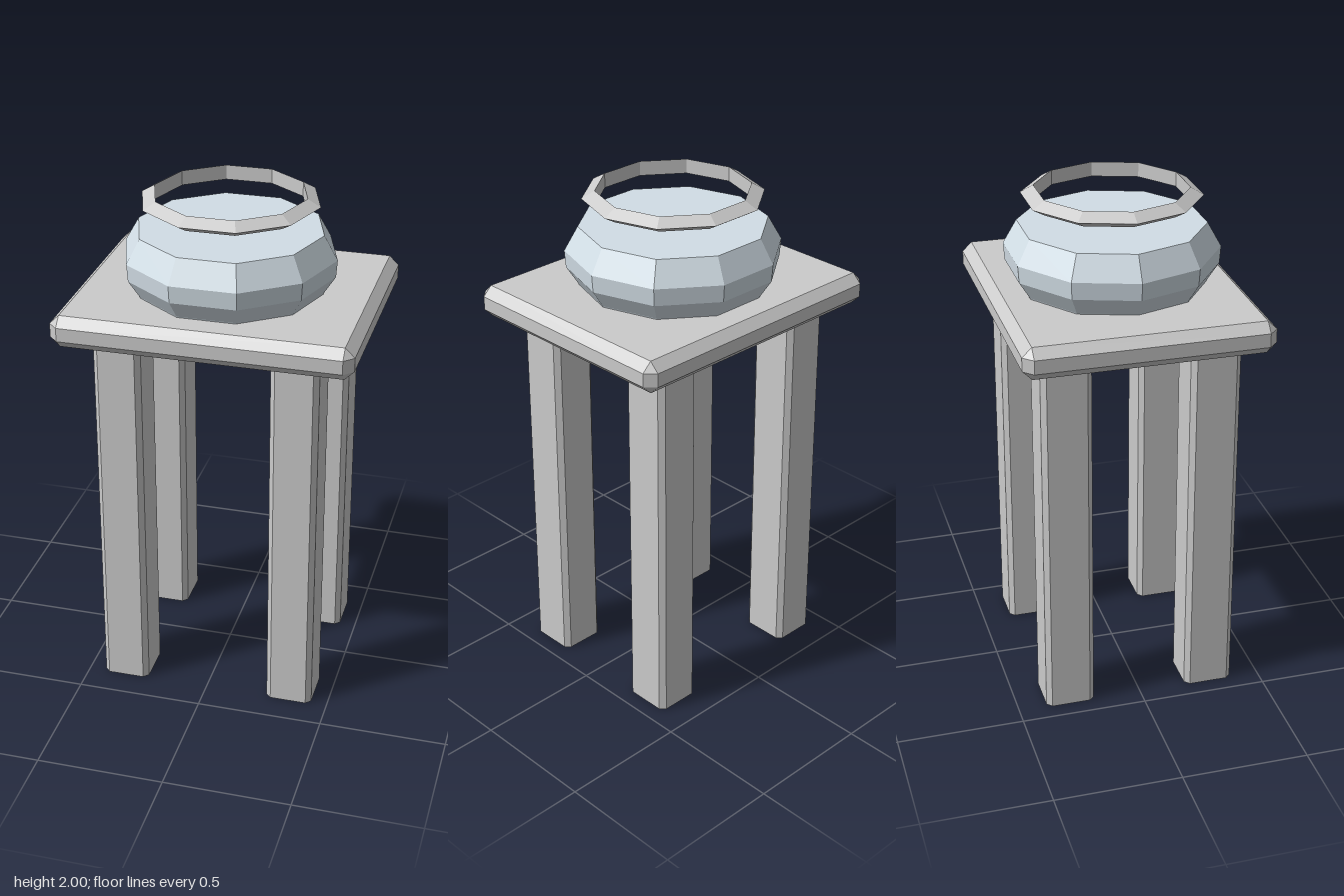
import * as THREE from 'three';
import { ConvexGeometry } from 'three/addons/geometries/ConvexGeometry.js';

// Box with chamfered edges; bx, by, bz are the chamfer insets per axis
function chamferBox(w, h, d, bx, by, bz) {
  const points = [];
  for (const x of [-1, 1]) for (const y of [-1, 1]) for (const z of [-1, 1]) {
    const [X, Y, Z] = [x * w / 2, y * h / 2, z * d / 2];
    const [x1, y1, z1] = [X - x * bx, Y - y * by, Z - z * bz];
    points.push(new THREE.Vector3(X, y1, z1), new THREE.Vector3(x1, y1, Z));
    if (by > 0) points.push(new THREE.Vector3(x1, Y, z1));
  }
  return new ConvexGeometry(points);
}

export function createModel() {
  const group = new THREE.Group();
  const grey = new THREE.MeshStandardMaterial({ color: 0xcccccc, flatShading: true });
  const paleBlue = new THREE.MeshStandardMaterial({ color: 0xd2dee6, flatShading: true });

  const add = (name, geometry, material, x, y, z) => {
    const mesh = new THREE.Mesh(geometry, material);
    mesh.name = name;
    mesh.position.set(x, y, z);
    group.add(mesh);
    return mesh;
  };

  // Table top, bevelled on every edge
  add('tableTop', chamferBox(1.15, 0.126, 0.954, 0.037, 0.036, 0.037), grey, 0, 1.562, 0);

  // Four square legs with chamfered upright edges
  const legHeight = 1.52;
  const leg = chamferBox(0.185, legHeight, 0.195, 0.02, 0, 0.02);
  for (const sx of [-1, 1]) for (const sz of [-1, 1]) {
    const name = (sz > 0 ? 'front' : 'back') + (sx > 0 ? 'Left' : 'Right') + 'Leg';
    add(name, leg, grey, sx * 0.342, legHeight / 2, sz * 0.288);
  }

  // Ten-sided bowl, sunk through the table top
  const profile = [[0, 1.488], [0.31, 1.488], [0.365, 1.63], [0.41, 1.70],
    [0.415, 1.768], [0.362, 1.862], [0, 1.862]].map(([r, y]) => new THREE.Vector2(r, y));
  const bowl = new THREE.LatheGeometry(profile, 10, Math.PI / 2);
  add('bowl', bowl, paleBlue, 0, 0, 0);

  // Floating rim ring with a triangular section
  const ring = new THREE.TorusGeometry(0.312, 0.0335, 3, 10).rotateX(-Math.PI / 2);
  add('rimRing', ring, grey, 0, 1.971, 0);

  return group;
}
